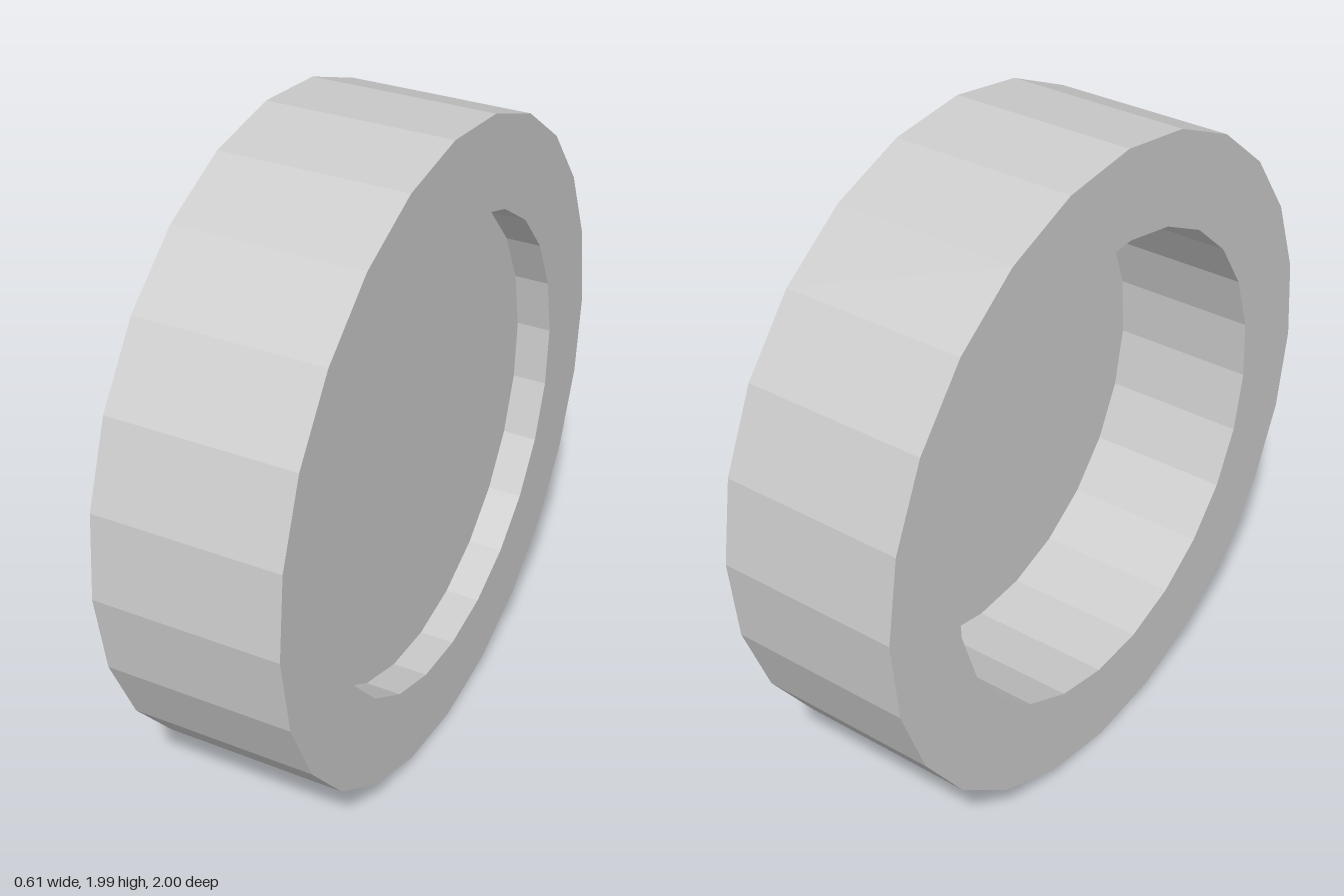
import * as THREE from 'three';

const SIDES = 24;
const WIDTH = 0.56;
const OUTER = { radius: 0.9937, turn: 1.4 };
const INNER = { radius: 0.72, turn: 3.6 };
const DISC_X = 0.172;

// Corners of a regular polygon, turned by a few degrees
function ring({ radius, turn }) {
  return Array.from({ length: SIDES }, (_, i) => {
    const a = (i / SIDES) * Math.PI * 2 + THREE.MathUtils.degToRad(turn);
    return new THREE.Vector2(Math.cos(a) * radius, Math.sin(a) * radius);
  });
}

export function createModel() {
  const model = new THREE.Group();
  model.name = 'wheel';

  // Faceted rim with an open centre, its axle along x
  const profile = new THREE.Shape(ring(OUTER));
  profile.holes.push(new THREE.Path(ring(INNER)));
  const rimGeometry = new THREE.ExtrudeGeometry(profile, { depth: WIDTH, bevelEnabled: false });
  rimGeometry.translate(0, 0, -WIDTH / 2).rotateY(Math.PI / 2);
  const rim = new THREE.Mesh(
    rimGeometry,
    new THREE.MeshStandardMaterial({ color: 0xcccccc, flatShading: true })
  );
  rim.name = 'rim';

  // Thin hub disc: shallow recess on the +x side, deep one on the -x side
  const discGeometry = new THREE.ShapeGeometry(new THREE.Shape(ring(INNER)));
  discGeometry.rotateY(Math.PI / 2).translate(DISC_X, 0, 0);
  const disc = new THREE.Mesh(
    discGeometry,
    new THREE.MeshStandardMaterial({ color: 0xcccccc, flatShading: true, side: THREE.DoubleSide })
  );
  disc.name = 'hubDisc';

  // The axle leans very slightly forward and up
  const wheel = new THREE.Group();
  wheel.name = 'wheelBody';
  wheel.add(rim, disc);
  wheel.rotation.set(0, -0.0225, 0.004);
  wheel.position.y = 0.9945;
  model.add(wheel);
  return model;
}
